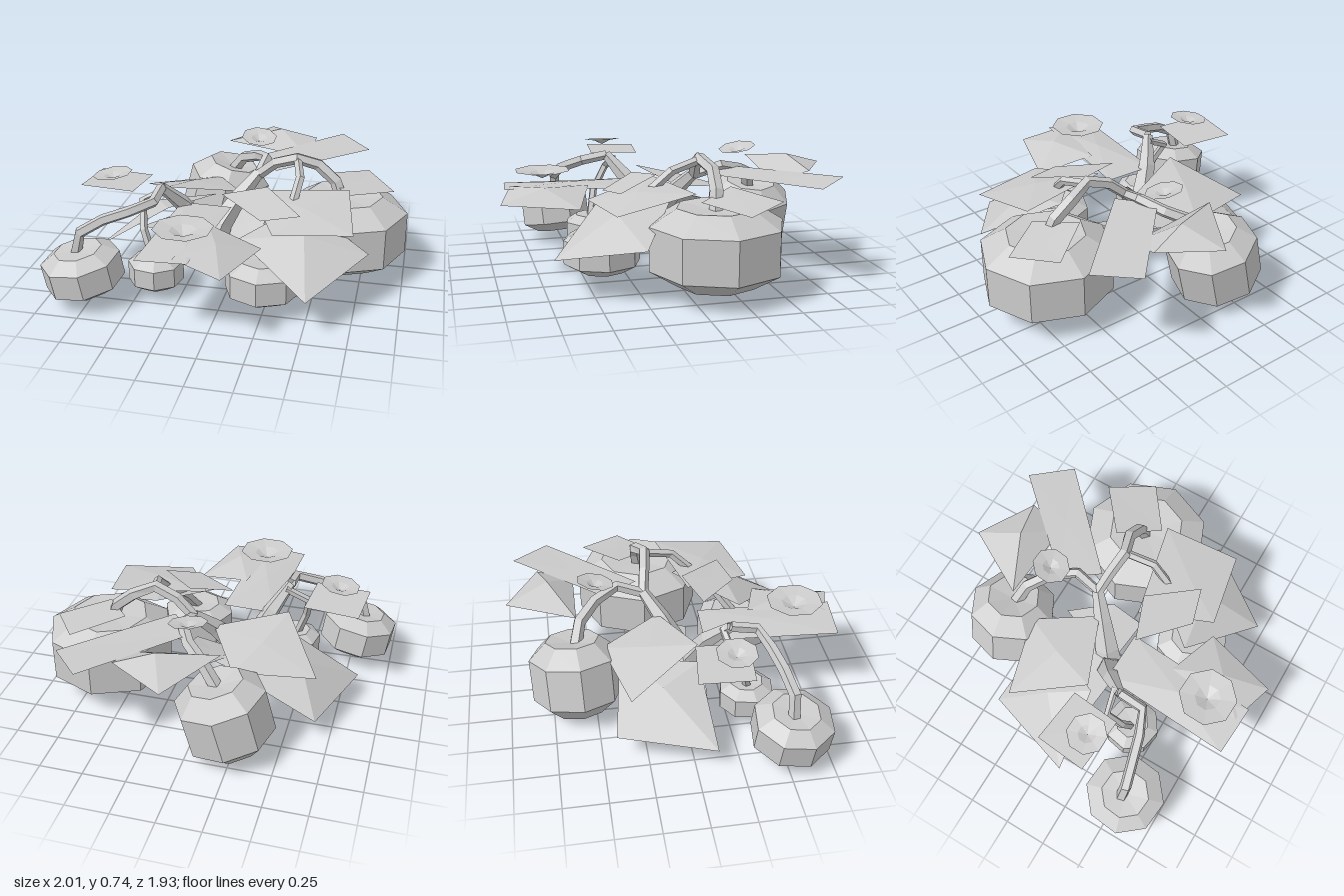
import * as THREE from 'three';

const V = (p) => new THREE.Vector3(...p);
const solid = () => new THREE.MeshStandardMaterial({ color: 0xcccccc, flatShading: true });
const thin = () => new THREE.MeshStandardMaterial({ color: 0xcccccc, flatShading: true, side: THREE.DoubleSide });

function add(group, name, geometry, material) {
  const mesh = new THREE.Mesh(geometry, material);
  mesh.name = name;
  group.add(mesh);
  return mesh;
}

// Eight-sided squat fruit: straight wall, bevelled rims, slightly dished ends; h is half its height
function pumpkin(group, [x, y, z], r, h, tilt = [0, 0, 0], turn = 0) {
  const profile = [[0, -0.85], [0.6, -1], [1, -0.57], [1, 0.57], [0.6, 1], [0, 0.88]]
    .map(([a, b]) => new THREE.Vector2(a * r, b * h));
  const mesh = add(group, 'pumpkin', new THREE.LatheGeometry(profile, 8, turn), solid());
  mesh.position.set(x, y, z);
  mesh.rotation.set(...tilt);
}

// Tapered five-sided stem through the given points
function vine(group, name, points, r0, r1) {
  const curve = new THREE.CatmullRomCurve3(points.map(V), false, 'centripetal');
  const segments = points.length - 1, sides = 5;
  const geometry = new THREE.TubeGeometry(curve, segments, 1, sides, false);
  const pos = geometry.attributes.position;
  const v = new THREE.Vector3();
  for (let i = 0; i < pos.count; i++) {
    const t = Math.floor(i / (sides + 1)) / segments;
    const c = curve.getPointAt(t);
    v.fromBufferAttribute(pos, i).sub(c).multiplyScalar(r0 + (r1 - r0) * t).add(c);
    pos.setXYZ(i, v.x, v.y, v.z);
  }
  add(group, name, geometry, thin());
}

// Four-cornered leaf, folded around a raised or sunken middle
function leaf(group, corners, lift = 0) {
  const pts = corners.map(V);
  const mid = pts.reduce((s, p) => s.add(p), new THREE.Vector3()).multiplyScalar(0.25);
  mid.y += lift;
  const all = [];
  pts.forEach((p, i) => all.push(mid, p, pts[(i + 1) % 4]));
  const geometry = new THREE.BufferGeometry().setFromPoints(all);
  geometry.computeVertexNormals();
  add(group, 'leaf', geometry, thin());
}

// Shallow eight-sided blossom with a funnel centre
function flower(group, [x, y, z], r, tilt) {
  const profile = [[0, -0.3], [0.45, -0.08], [1, 0]].map(([a, b]) => new THREE.Vector2(a * r, b * r));
  const mesh = add(group, 'flower', new THREE.LatheGeometry(profile, 8, 0.35), thin());
  mesh.position.set(x, y, z);
  mesh.rotation.set(...tilt);
}

export function createModel() {
  const group = new THREE.Group();
  group.name = 'pumpkinPlant';

  // Fruit
  pumpkin(group, [0.625, 0.285, -0.145], 0.375, 0.215);
  pumpkin(group, [-0.2, 0.25, -0.605], 0.26, 0.22, [-0.03, 0, -0.25], 0.1);
  pumpkin(group, [-0.78, 0.195, 0.535], 0.228, 0.13, [0.08, 0, 0.15], 0.3);
  pumpkin(group, [-0.4, 0.145, 0.36], 0.16, 0.098, [0, 0, 0], 0.2);
  pumpkin(group, [0.24, 0.19, 0.41], 0.22, 0.12);

  // Root funnel and the two main stalks rising from it
  const root = add(group, 'root', new THREE.CylinderGeometry(0.1, 0.03, 0.1, 6), solid());
  root.position.set(-0.15, 0.15, 0.05);
  vine(group, 'leftStalk', [[-0.15, 0.14, 0.06], [-0.2, 0.3, 0.08], [-0.3, 0.5, 0.16], [-0.38, 0.62, 0.26]], 0.09, 0.03);
  vine(group, 'rightStalk', [[-0.15, 0.14, 0.06], [-0.1, 0.3, 0.01], [0, 0.46, -0.08], [0.1, 0.58, -0.17]], 0.09, 0.035);

  // Branches arching over to each fruit
  vine(group, 'branch', [[0.1, 0.57, -0.17], [0.2, 0.66, -0.15], [0.35, 0.71, -0.13], [0.45, 0.67, -0.17], [0.57, 0.57, -0.16], [0.62, 0.44, -0.14]], 0.032, 0.04);
  vine(group, 'branch', [[0.34, 0.7, -0.13], [0.38, 0.66, 0.03], [0.37, 0.56, 0.14], [0.29, 0.42, 0.3], [0.24, 0.28, 0.41]], 0.025, 0.03);
  vine(group, 'branch', [[0.1, 0.57, -0.17], [0.12, 0.62, -0.33], [0.03, 0.57, -0.48], [-0.1, 0.5, -0.58], [-0.16, 0.4, -0.6]], 0.03, 0.04);
  vine(group, 'branch', [[-0.38, 0.62, 0.26], [-0.39, 0.59, 0.42], [-0.53, 0.54, 0.47], [-0.72, 0.47, 0.52], [-0.8, 0.4, 0.54], [-0.82, 0.28, 0.53]], 0.03, 0.035);
  vine(group, 'branch', [[-0.36, 0.6, 0.22], [-0.49, 0.55, 0.23], [-0.49, 0.44, 0.31], [-0.42, 0.22, 0.36]], 0.022, 0.025);

  // Back leaves
  leaf(group, [[0.05, 0.6, -0.97], [0.37, 0.61, -0.78], [0.34, 0.55, -0.57], [-0.17, 0.62, -0.58]], 0.08);
  leaf(group, [[0.53, 0.6, -0.92], [0.72, 0.58, -0.71], [0.2, 0.59, -0.2], [0.05, 0.6, -0.4]]);
  leaf(group, [[0.74, 0.53, -0.48], [0.91, 0.5, -0.24], [0.65, 0.53, -0.05], [0.48, 0.57, -0.27]]);

  // Left-hand leaves
  leaf(group, [[-0.67, 0.15, -0.42], [-0.2, 0.34, -0.35], [-0.4, 0.41, 0.08], [-0.84, 0.13, 0.12]], 0.1);
  leaf(group, [[-0.65, 0.38, -0.33], [-0.2, 0.42, -0.45], [0, 0.48, -0.1], [-0.41, 0.54, 0.07]], 0.03);
  leaf(group, [[-0.82, 0.6, 0], [-0.5, 0.6, 0.04], [-0.53, 0.61, 0.33], [-0.85, 0.61, 0.3]]);

  // Front leaves
  leaf(group, [[-0.3, 0.48, 0.13], [0, 0.48, 0.14], [-0.06, 0.5, 0.92], [-0.35, 0.48, 0.9]], 0.02);
  leaf(group, [[-0.07, 0.5, 0.43], [0.25, 0.43, 0.53], [0.12, 0.45, 0.96], [-0.15, 0.5, 0.88]], 0.05);

  // Right-hand leaves
  leaf(group, [[0.4, 0.5, 0.05], [0.81, 0.33, 0.28], [0.52, 0.23, 0.72], [0.1, 0.42, 0.42]], 0.08);
  leaf(group, [[0.1, 0.58, 0.1], [0.66, 0.58, -0.02], [0.73, 0.5, 0.42], [0.3, 0.5, 0.5]], 0.02);
  leaf(group, [[-0.05, 0.57, 0.17], [0.2, 0.6, 0.08], [0.43, 0.55, 0.34], [0.22, 0.53, 0.4]]);

  // Low leaves near the root
  leaf(group, [[-0.03, 0.36, -0.31], [0.16, 0.33, -0.1], [0.16, 0.25, 0.1], [-0.15, 0.22, 0.06]]);
  leaf(group, [[-0.57, 0.28, 0.1], [-0.2, 0.3, 0.14], [-0.03, 0.3, -0.2], [-0.4, 0.23, -0.28]]);

  // Blossoms
  flower(group, [-0.68, 0.67, 0.23], 0.115, [0, 0, 0.13]);
  flower(group, [-0.14, 0.59, 0.69], 0.165, [0, 0, 0]);
  flower(group, [0.05, 0.71, -0.45], 0.11, [0.2, 0, -0.1]);

  return group;
}
